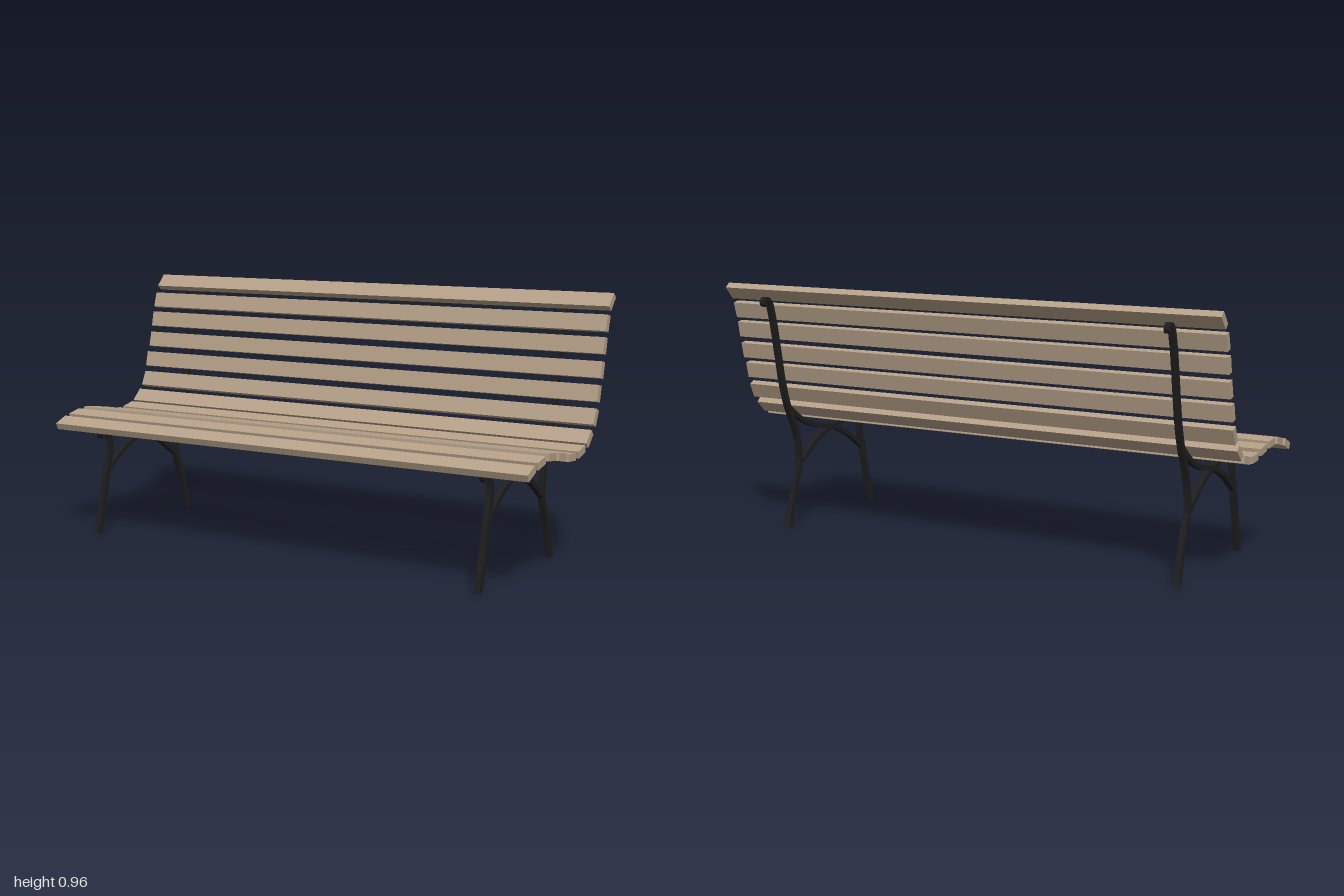
import * as THREE from 'three';

// Flat bar following [z, y] points, given thickness in the side plane and depth along x.
function barGeometry(points, startThick, endThick, depth, divisions) {
  const curve = new THREE.CatmullRomCurve3(
    points.map(([z, y]) => new THREE.Vector3(-z, y, 0)), false, 'centripetal');
  const upper = [], lower = [];
  for (let i = 0; i <= divisions; i++) {
    const t = i / divisions;
    const p = curve.getPoint(t), d = curve.getTangent(t);
    const h = THREE.MathUtils.lerp(startThick, endThick, t) / 2;
    upper.push(new THREE.Vector2(p.x - d.y * h, p.y + d.x * h));
    lower.push(new THREE.Vector2(p.x + d.y * h, p.y - d.x * h));
  }
  const shape = new THREE.Shape([...lower, ...upper.reverse()]);
  const geometry = new THREE.ExtrudeGeometry(shape, { depth, bevelEnabled: false });
  geometry.translate(0, 0, -depth / 2);
  geometry.rotateY(Math.PI / 2);
  return geometry;
}

export function createModel() {
  const model = new THREE.Group();
  model.name = 'bench';
  const wood = new THREE.MeshStandardMaterial({ color: 0xb5a088 });
  wood.name = 'pale wood';
  const iron = new THREE.MeshStandardMaterial({ color: 0x1e1e1f });
  iron.name = 'black iron';

  // Slats: z, y, tilt in degrees (rising towards the back)
  const slats = [
    [0.326, 0.42, 24], [0.25, 0.443, 14], [0.166, 0.451, -5], [0.085, 0.44, -9],
    [0.004, 0.425, -4], [-0.077, 0.432, 14], [-0.143, 0.468, 45],
    [-0.193, 0.536, 66], [-0.217, 0.617, 77], [-0.242, 0.697, 77],
    [-0.26, 0.78, 78], [-0.279, 0.857, 74], [-0.315, 0.93, 49],
  ];
  const slatGeometry = new THREE.BoxGeometry(2, 0.026, 0.059);
  slats.forEach(([z, y, tilt], i) => {
    const slat = new THREE.Mesh(slatGeometry, wood);
    slat.name = i < 7 ? 'seatSlat' : 'backSlat';
    slat.position.set(0, y, z);
    slat.rotation.x = THREE.MathUtils.degToRad(tilt);
    model.add(slat);
  });

  // Iron bars of one side frame: name, start and end thickness, divisions, [z, y] path
  const bars = [
    ['frontLeg', 0.026, 0.018, 16,
      [[0.334, 0.003], [0.302, 0.13], [0.274, 0.25], [0.259, 0.31], [0.257, 0.36], [0.272, 0.405]]],
    ['seatRailWithScroll', 0.015, 0.02, 36,
      [[0.289, 0.388], [0.299, 0.377], [0.311, 0.385], [0.307, 0.401], [0.286, 0.41], [0.26, 0.407],
        [0.18, 0.385], [0.067, 0.362], [-0.002, 0.341], [-0.068, 0.306], [-0.153, 0.246]]],
    ['crossBrace', 0.018, 0.018, 20,
      [[0.272, 0.245], [0.18, 0.31], [0.123, 0.338], [0.067, 0.361], [-0.022, 0.378],
        [-0.1, 0.404], [-0.164, 0.44], [-0.217, 0.482]]],
    ['rearLegAndBackUpright', 0.02, 0.02, 30,
      [[-0.228, 0.01], [-0.209, 0.088], [-0.183, 0.17], [-0.153, 0.246], [-0.154, 0.3],
        [-0.164, 0.356], [-0.189, 0.422], [-0.219, 0.484], [-0.247, 0.577], [-0.27, 0.695],
        [-0.292, 0.81], [-0.311, 0.882]]],
    ['backScroll', 0.02, 0.014, 16,
      [[-0.308, 0.87], [-0.314, 0.888], [-0.326, 0.903], [-0.342, 0.908],
        [-0.351, 0.898], [-0.347, 0.887], [-0.337, 0.89]]],
  ];
  const geometries = bars.map(([, start, end, divisions, path]) =>
    barGeometry(path, start, end, 0.021, divisions));
  for (const side of [1, -1]) {
    const frame = new THREE.Group();
    frame.name = side > 0 ? 'leftFrame' : 'rightFrame';
    frame.position.x = side * 0.818;
    bars.forEach(([name], i) => {
      const bar = new THREE.Mesh(geometries[i], iron);
      bar.name = name;
      frame.add(bar);
    });
    model.add(frame);
  }
  return model;
}
